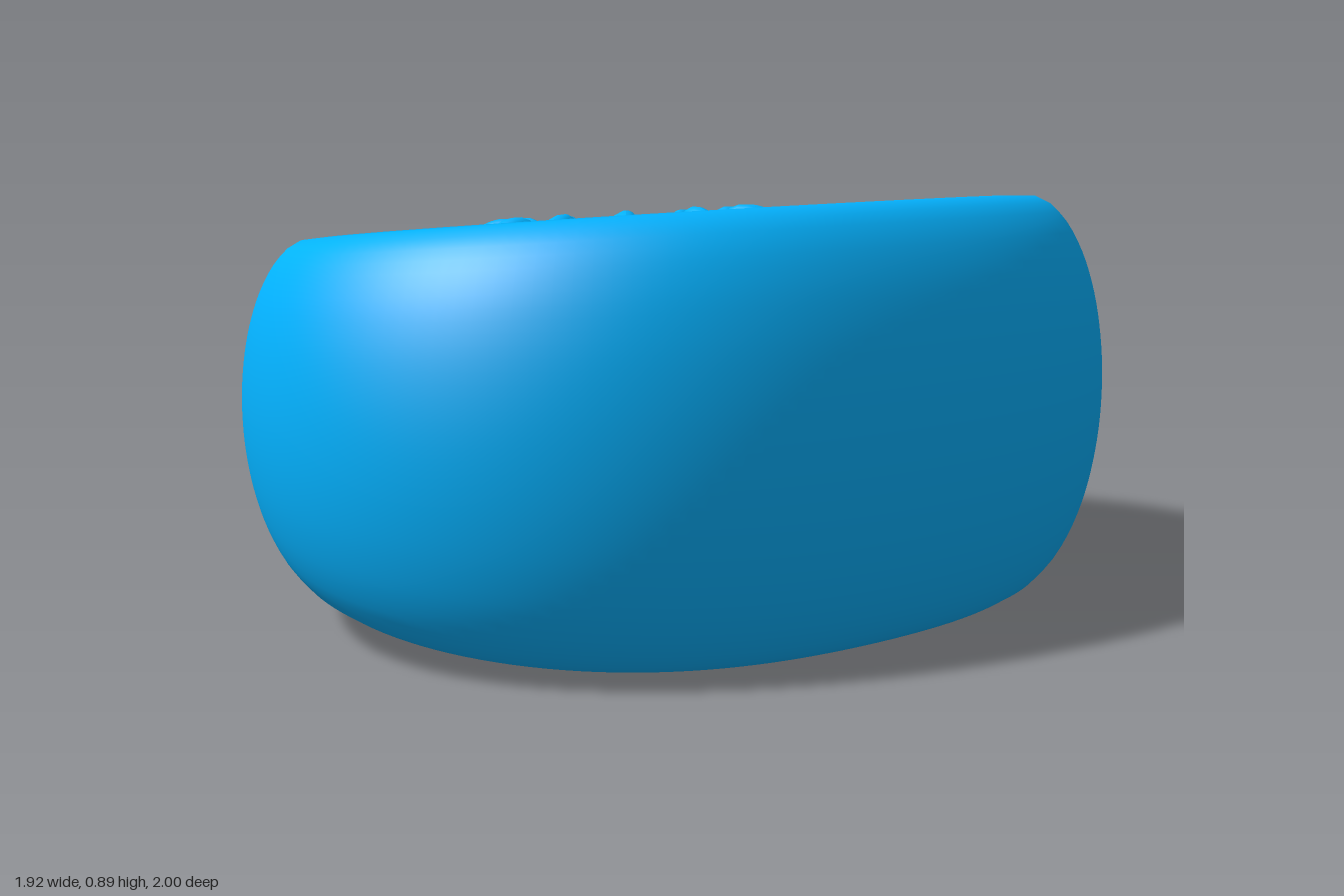
import * as THREE from 'three';

const MID_Y = 0.4475;
// half height of the wedge-shaped body grows from right (-x) to left (+x)
const halfHeight = (x) => 0.366 + 0.103 * x;
const heightAt = (x, s) => MID_Y + s * halfHeight(x);

// Rounded-triangle outline seen from above
const outlineRadius = (a) => 0.9625 - 0.0755 * Math.cos(3 * a) + 0.073 * Math.cos(a);

// Direction of each rib in degrees, from +x towards +z
const RIB_ANGLES = [6.5, 39, 68, 98, 131, 161, 188, 215.5, 246.5, 276.5, 304, 332];

// Cross-section: [fraction of outline, height -1..1, 0 = circle / 1 = outline]
function bodyProfile() {
  const inner = [
    [0.262, 0.68, 0], [0.285, 0.77, 0], [0.34, 0.67, 0.05], [0.42, 0.53, 0.15],
    [0.52, 0.43, 0.3], [0.6, 0.41, 0.5], [0.66, 0.48, 0.7], [0.71, 0.65, 0.85],
    [0.75, 0.83, 0.95], [0.785, 0.95, 1],
  ];
  const outer = [];
  for (let i = 0; i <= 12; i++) {
    const a = Math.PI / 2 - (i / 12) * Math.PI;
    outer.push([0.82 + 0.18 * Math.cos(a), Math.sin(a), 1]);
  }
  const funnel = [
    [0.785, -0.95, 1], [0.75, -0.83, 0.95], [0.71, -0.63, 0.85], [0.65, -0.4, 0.7],
    [0.56, -0.17, 0.5], [0.46, 0.04, 0.3], [0.37, 0.24, 0.1], [0.295, 0.45, 0],
  ];
  return [...inner, ...outer, ...funnel].map((p) => new THREE.Vector3(...p));
}

function bodyGeometry(rows = 112, cols = 180) {
  const profile = new THREE.CatmullRomCurve3(bodyProfile(), true);
  const positions = [], indices = [];
  for (let i = 0; i < rows; i++) {
    const q = profile.getPointAt(i / rows);
    const blend = THREE.MathUtils.clamp(q.z, 0, 1);
    for (let j = 0; j < cols; j++) {
      const a = (j / cols) * Math.PI * 2;
      const r = q.x * THREE.MathUtils.lerp(1, outlineRadius(a), blend);
      const x = r * Math.cos(a);
      positions.push(x, heightAt(x, q.y), r * Math.sin(a));
      const i2 = (i + 1) % rows, j2 = (j + 1) % cols;
      const v0 = i * cols + j, v1 = i * cols + j2, v2 = i2 * cols + j, v3 = i2 * cols + j2;
      indices.push(v0, v1, v2, v1, v3, v2);
    }
  }
  const geo = new THREE.BufferGeometry();
  geo.setAttribute('position', new THREE.Float32BufferAttribute(positions, 3));
  geo.setIndex(indices);
  geo.computeVertexNormals();
  return geo;
}

// Teardrop rib: a sphere stretched along the slope of the hub, curling up at the hole
function ribGeometry(angle) {
  const path = new THREE.CatmullRomCurve3([
    [0.225, 0.84], [0.27, 0.93], [0.335, 0.82], [0.42, 0.65], [0.53, 0.54], [0.65, 0.48],
  ].map(([r, s]) => new THREE.Vector3(r, s, 0)));
  const geo = new THREE.SphereGeometry(1, 28, 44).rotateZ(-Math.PI / 2);
  const pos = geo.attributes.position;
  const cos = Math.cos(angle), sin = Math.sin(angle);
  for (let i = 0; i < pos.count; i++) {
    const t = THREE.MathUtils.clamp((pos.getX(i) + 1) / 2, 0, 1);
    const c = path.getPoint(t);
    const tan = path.getTangent(t);
    const slope = Math.atan2(tan.y * halfHeight(c.x * cos), tan.x);
    const up = pos.getY(i) * THREE.MathUtils.lerp(0.045, 0.085, t);
    const side = pos.getZ(i) * THREE.MathUtils.lerp(0.025, 0.09, t);
    const r = c.x - up * Math.sin(slope);
    const y = heightAt(c.x * cos, c.y) + up * Math.cos(slope);
    pos.setXYZ(i, r * cos - side * sin, y, r * sin + side * cos);
  }
  geo.computeVertexNormals();
  return geo;
}

export function createModel() {
  const group = new THREE.Group();
  group.name = 'ribbedRing';
  const material = new THREE.MeshStandardMaterial({ color: 0x03b2ff });

  // Hollow wedge body with rim, groove, hub and open funnel underneath
  const body = new THREE.Mesh(bodyGeometry(), material);
  body.name = 'body';
  group.add(body);

  // Ribs radiating from the central hole
  const ribs = new THREE.Group();
  ribs.name = 'ribs';
  for (const degrees of RIB_ANGLES) {
    const rib = new THREE.Mesh(ribGeometry(THREE.MathUtils.degToRad(degrees)), material);
    rib.name = 'rib';
    ribs.add(rib);
  }
  group.add(ribs);
  return group;
}
